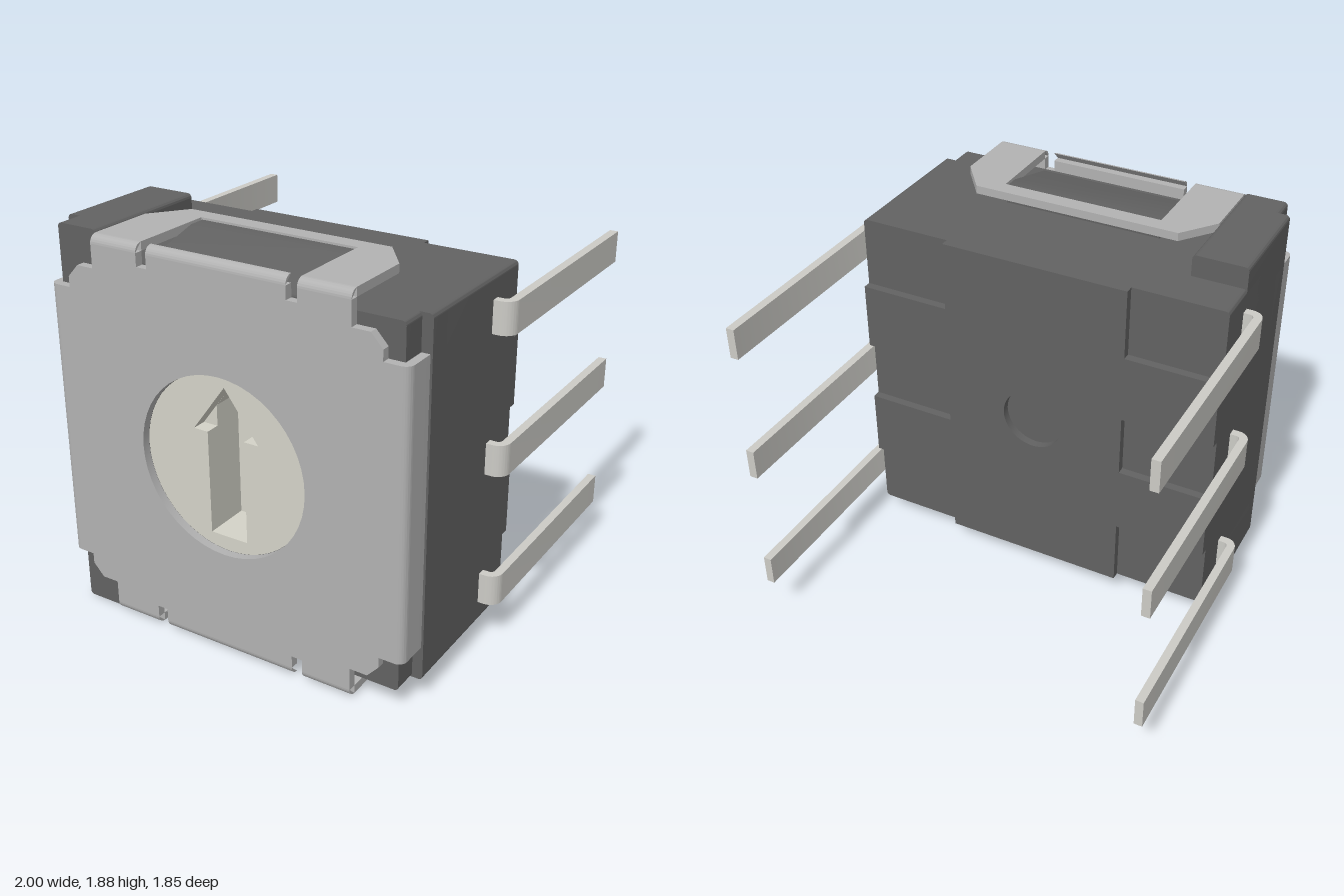
import * as THREE from 'three';
import { toCreasedNormals } from 'three/addons/utils/BufferGeometryUtils.js';

const paint = (color) => new THREE.MeshStandardMaterial({ color });
const dark = paint(0x626262), steel = paint(0xb2b2b2), cream = paint(0xd4d3c8), tin = paint(0xcccbc6);

const poly = (points) => new THREE.Shape(points.map(([x, y]) => new THREE.Vector2(x, y)));

function roundedRect(x0, y0, x1, y1, r) {
  const s = new THREE.Shape();
  s.absarc(x1 - r, y1 - r, r, 0, Math.PI / 2);
  s.absarc(x0 + r, y1 - r, r, Math.PI / 2, Math.PI);
  s.absarc(x0 + r, y0 + r, r, Math.PI, Math.PI * 1.5);
  s.absarc(x1 - r, y0 + r, r, Math.PI * 1.5, Math.PI * 2);
  s.closePath();
  return s;
}

function withHole(shape, r) {
  shape.holes.push(new THREE.Path().absarc(0, 0, r, 0, Math.PI * 2, true));
  return shape;
}

const extrude = (shape, depth) =>
  new THREE.ExtrudeGeometry(shape, { depth, bevelEnabled: false, curveSegments: 24 });

// Extrusions between two coordinates: outline in (x, y), (x, z) or (z, y)
const alongZ = (s, z0, z1) => extrude(s, z1 - z0).translate(0, 0, z0);
const alongY = (s, y0, y1) => extrude(s, y1 - y0).rotateX(Math.PI / 2).translate(0, y1, 0);
const alongX = (s, x0, x1) => extrude(s, x1 - x0).rotateY(-Math.PI / 2).translate(x1, 0, 0);

function add(parent, name, geometry, material) {
  const mesh = new THREE.Mesh(toCreasedNormals(geometry, 0.5), material);
  mesh.name = name;
  parent.add(mesh);
  return mesh;
}

function group(parent, name) {
  const g = new THREE.Group();
  g.name = name;
  parent.add(g);
  return g;
}

// Full outline from its upper right quarter
function mirrorQuarter(q) {
  const back = [...q].reverse();
  return poly([
    ...q, ...back.map(([x, y]) => [-x, y]),
    ...q.map(([x, y]) => [-x, -y]), ...back.map(([x, y]) => [x, -y]),
  ]);
}

export function createModel() {
  const model = new THREE.Group();
  model.name = 'rotarySwitch';
  const root = group(model, 'switch');
  root.position.y = 0.94;

  // Housing: solid core, then layers with the round rotor well
  const housing = group(root, 'housing');
  add(housing, 'core', alongZ(roundedRect(-0.91, -0.835, 0.91, 0.835, 0.02), 0.01, 0.65), dark);
  add(housing, 'wellLayer', alongZ(withHole(roundedRect(-0.91, -0.835, 0.91, 0.835, 0.02), 0.425), 0.65, 0.76), dark);
  add(housing, 'frontLayer', alongZ(withHole(roundedRect(-0.86, -0.835, 0.86, 0.835, 0.02), 0.425), 0.76, 0.88), dark);

  // Back panel, cut away beside each pin, with a round dimple
  const backPanel = mirrorQuarter([
    [0.46, 0.155], [0.91, 0.155], [0.91, 0.49], [0.46, 0.49], [0.46, 0.835],
  ]);
  add(housing, 'backPanel', alongZ(withHole(backPanel, 0.155), -0.03, 0.01), dark);

  // Metal cover face with notched corners and slits
  const cover = group(root, 'cover');
  const face = mirrorQuarter([
    [0.86, 0.67], [0.785, 0.67], [0.785, 0.72], [0.73, 0.78], [0.645, 0.78],
    [0.645, 0.89], [0.4, 0.89], [0.4, 0.83], [0.347, 0.83], [0.347, 0.89],
  ]);
  add(cover, 'coverFace', alongZ(withHole(face, 0.425), 0.88, 0.92), steel);

  // Bent side flanges
  const sideFlange = new THREE.Shape();
  sideFlange.moveTo(0.86, 0.76);
  sideFlange.lineTo(0.9, 0.76);
  sideFlange.absarc(0.86, 0.88, 0.04, 0, Math.PI / 2);
  sideFlange.closePath();
  for (const side of [1, -1]) {
    add(cover, side > 0 ? 'leftFlange' : 'rightFlange', alongY(sideFlange, -0.67, 0.67), steel).scale.x = side;
  }

  // Top and bottom: clip frame, bent edges, latch ramp and corner block
  const bend = new THREE.Shape();
  bend.moveTo(0.88, 0.89);
  bend.absarc(0.88, 0.89, 0.04, 0, Math.PI / 2);
  bend.closePath();
  const clip = poly([
    [0.645, 0.88], [0.645, 0.56], [0.515, 0.39], [-0.515, 0.39], [-0.645, 0.56], [-0.645, 0.88],
    [-0.4, 0.88], [-0.4, 0.47], [0.4, 0.47], [0.4, 0.88],
  ]);
  const ramp = poly([[0.88, 0.83], [0.55, 0.92], [0.47, 0.92], [0.47, 0.83]]);
  for (const side of [1, -1]) {
    const end = group(root, side > 0 ? 'topEnd' : 'bottomEnd');
    end.scale.y = side;
    add(end, 'clipFrame', alongY(clip, 0.89, 0.93), steel);
    for (const [x0, x1] of [[-0.645, -0.4], [-0.347, 0.347], [0.4, 0.645]]) {
      add(end, 'bentEdge', alongX(bend, x0, x1), steel);
    }
    add(end, 'latchRamp', alongX(ramp, -0.395, 0.395), dark);
    add(end, 'cornerBlock', alongZ(roundedRect(-0.91, 0.67, -0.65, 0.94, 0.02), 0.22, 0.76), dark);
    add(end, 'cornerBlockFront', alongZ(roundedRect(-0.86, 0.67, -0.65, 0.94, 0.02), 0.76, 0.88), dark);
    add(end, 'cornerBlockTip', alongZ(roundedRect(-0.91, 0.69, -0.84, 0.94, 0.02), 0.75, 0.76), dark);
  }

  // Rotor with a shallow arrowhead and a deep screwdriver slot
  const rotor = group(root, 'rotor');
  const disc = () => new THREE.Shape().absarc(0, 0, 0.424, 0, Math.PI * 2);
  const shaft = [[-0.095, 0.233], [-0.095, -0.355], [0.095, -0.355], [0.095, 0.233], [0, 0.362]];
  const arrow = [
    [0, 0.362], [-0.168, 0.135], [-0.095, 0.135], [-0.095, -0.355],
    [0.095, -0.355], [0.095, 0.135], [0.168, 0.135],
  ];
  const rotorMiddle = disc(), rotorFace = disc();
  rotorMiddle.holes.push(poly(shaft));
  rotorFace.holes.push(poly(arrow));
  add(rotor, 'slotFloor', alongZ(disc(), 0.65, 0.66), cream);
  add(rotor, 'rotorMiddle', alongZ(rotorMiddle, 0.66, 0.81), cream);
  add(rotor, 'rotorFace', alongZ(rotorFace, 0.81, 0.88), cream);

  // Three bent pins on each side
  const pin = new THREE.Shape();
  pin.moveTo(0.88, 0.2);
  pin.lineTo(0.94, 0.2);
  pin.absarc(0.94, 0.18, 0.02, Math.PI / 2, 0, true);
  pin.lineTo(0.96, -0.925);
  pin.lineTo(1, -0.925);
  pin.absarc(0.94, 0.18, 0.06, 0, Math.PI / 2);
  pin.lineTo(0.88, 0.24);
  pin.closePath();
  for (const side of [1, -1]) {
    for (const y of [-0.655, 0, 0.655]) {
      add(root, side > 0 ? 'leftPin' : 'rightPin', alongY(pin, y - 0.075, y + 0.075), tin).scale.x = side;
    }
  }
  return model;
}
